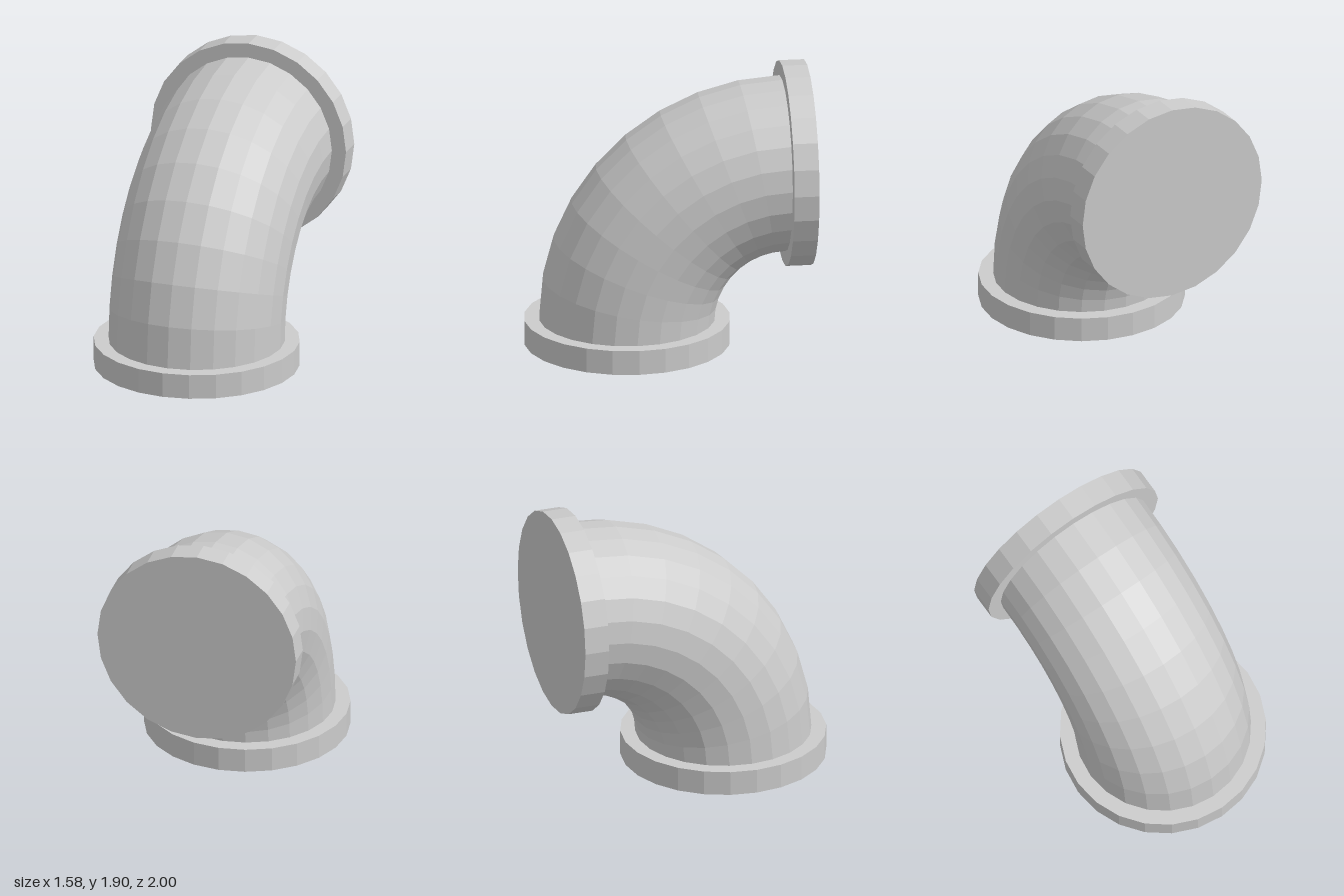
import * as THREE from 'three';

const SIDES = 24;
const PIPE_RADIUS = 0.59;
const BEND_RADIUS = 1.045;
const FLANGE_RADIUS = 0.69;
const FLANGE_DEPTH = 0.168;

export function createModel() {
  const model = new THREE.Group();
  model.name = 'pipeElbow';
  const material = new THREE.MeshStandardMaterial({ color: 0xcccccc, flatShading: true });

  // The elbow is built bending towards -z, then turned slightly about y
  const elbow = new THREE.Group();
  elbow.name = 'elbow';
  elbow.position.set(0.1, 0, 0.31);
  elbow.rotation.y = THREE.MathUtils.degToRad(10);
  model.add(elbow);

  const addPart = (name, geometry) => {
    const mesh = new THREE.Mesh(geometry, material);
    mesh.name = name;
    elbow.add(mesh);
    return mesh;
  };

  // Quarter bend rising from the base flange to the rear flange
  const bend = new THREE.TorusGeometry(BEND_RADIUS, PIPE_RADIUS, SIDES, 9, Math.PI / 2);
  bend.rotateY(-Math.PI / 2);
  bend.translate(0, FLANGE_DEPTH, -BEND_RADIUS);
  addPart('bentPipe', bend);

  // Closed flange discs at both ends
  const flange = new THREE.CylinderGeometry(FLANGE_RADIUS, FLANGE_RADIUS, FLANGE_DEPTH, SIDES);
  addPart('baseFlange', flange).position.y = FLANGE_DEPTH / 2;

  const rear = addPart('rearFlange', flange);
  rear.rotation.x = -Math.PI / 2;
  rear.position.set(0, FLANGE_DEPTH + BEND_RADIUS, -BEND_RADIUS - FLANGE_DEPTH / 2);

  return model;
}
